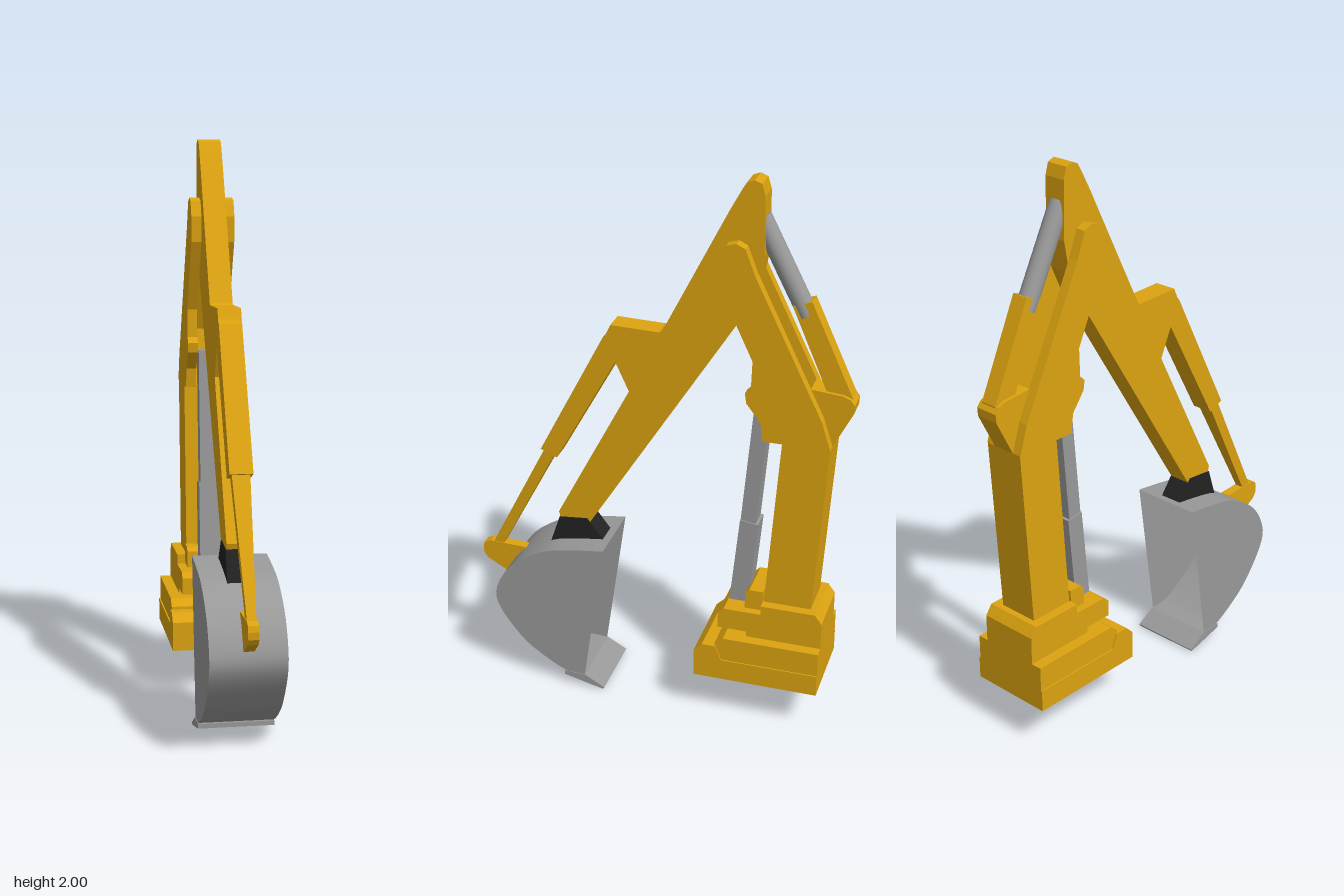
import * as THREE from 'three';

const mat = (color, extra = {}) => new THREE.MeshStandardMaterial({ color, ...extra });
const yellow = mat(0xdca310);
const black = mat(0x222222);
const steel = mat(0x999999);
const steelThin = mat(0x999999, { side: THREE.DoubleSide });

const toShape = pts => new THREE.Shape(pts.map(([z, y]) => new THREE.Vector2(z, y)));

export function createModel() {
  const model = new THREE.Group();

  const add = (name, geometry, material) => {
    const mesh = new THREE.Mesh(geometry, material);
    mesh.name = name;
    model.add(mesh);
    return mesh;
  };

  // Side profile in (z, y), given a width along x
  const plate = (name, pts, width, material = yellow, x = 0) => {
    const g = new THREE.ExtrudeGeometry(toShape(pts), { depth: width, bevelEnabled: false });
    g.translate(0, 0, -width / 2);
    g.rotateY(-Math.PI / 2);
    g.translate(x, 0, 0);
    return add(name, g, material);
  };

  // Stepped base
  plate('baseFoot', [[-0.17, 0.16], [-0.17, 0.265], [-0.2, 0.295], [-0.25, 0.295], [-0.27, 0.24],
    [-0.62, 0.24], [-0.62, 0.16]], 0.31);
  plate('baseStep', [[-0.245, 0.26], [-0.245, 0.305], [-0.275, 0.33], [-0.62, 0.33], [-0.62, 0.24],
    [-0.265, 0.24]], 0.3);
  plate('baseTop', [[-0.35, 0.33], [-0.35, 0.35], [-0.245, 0.35], [-0.245, 0.41], [-0.265, 0.43],
    [-0.4, 0.43], [-0.4, 0.465], [-0.595, 0.465], [-0.62, 0.43], [-0.62, 0.33]], 0.22);
  plate('baseBracket', [[-0.335, 0.42], [-0.335, 0.49], [-0.35, 0.505], [-0.4, 0.505], [-0.4, 0.42]], 0.16);

  // Boom: solid lower post, two upper arms that straddle the stick
  plate('boomPost', [[-0.4, 0.43], [-0.447, 1.1], [-0.46, 1.13], [-0.6, 1.13], [-0.612, 1.1], [-0.57, 0.43]], 0.15);
  for (const s of [1, -1]) {
    plate('boomArm', [[-0.447, 1.1], [-0.38, 1.1], [-0.37, 1.17], [-0.32, 1.235], [-0.315, 1.27],
      [-0.335, 1.29], [-0.338, 1.39], [-0.22, 1.64], [-0.217, 1.73], [-0.24, 1.785], [-0.275, 1.795],
      [-0.305, 1.78], [-0.34, 1.69], [-0.58, 1.2], [-0.612, 1.1]], 0.036, yellow, s * 0.059);
  }
  plate('boomHorn', [[-0.612, 1.1], [-0.678, 1.23], [-0.68, 1.26], [-0.665, 1.28], [-0.64, 1.29],
    [-0.53, 1.3], [-0.5, 1.12]], 0.085);

  // Lift ram between base and boom
  plate('liftRamBarrel', [[-0.267, 0.42], [-0.3, 0.76], [-0.365, 0.75], [-0.335, 0.42]], 0.08, steel);
  plate('liftRamRod', [[-0.3, 0.75], [-0.342, 1.24], [-0.395, 1.24], [-0.355, 0.75]], 0.07, steel);

  // Stick ram behind the boom
  plate('stickRamBarrel', [[-0.455, 1.585], [-0.52, 1.605], [-0.67, 1.28], [-0.655, 1.24], [-0.6, 1.25]], 0.06);
  const a = new THREE.Vector3(0, 1.87, -0.335), b = new THREE.Vector3(0, 1.55, -0.5);
  const rod = add('stickRamRod', new THREE.CylinderGeometry(0.034, 0.034, a.distanceTo(b), 20), steel);
  rod.position.copy(a).lerp(b, 0.5);
  rod.quaternion.setFromUnitVectors(new THREE.Vector3(0, 1, 0), a.clone().sub(b).normalize());

  // Stick with its ram bracket
  plate('stick', [[-0.28, 1.965], [-0.295, 1.99], [-0.32, 2], [-0.345, 1.99], [-0.357, 1.95], [-0.36, 1.75],
    [-0.34, 1.64], [-0.28, 1.51], [0.255, 0.655], [0.28, 0.633], [0.31, 0.627], [0.34, 0.635], [0.365, 0.655],
    [0.373, 0.68], [0.103, 1.2], [0.19, 1.39], [0.167, 1.44], [-0.005, 1.435], [-0.015, 1.44],
    [-0.17, 1.75], [-0.24, 1.89]], 0.08);

  // Bucket ram with a rod tapering toward the link
  plate('bucketRamBarrel', [[0.17, 1.42], [0.195, 1.39], [0.435, 0.925], [0.375, 0.9], [0.115, 1.37]], 0.079);
  const taper = plate('bucketRamRod', [[0.42, 0.93], [0.65, 0.48], [0.61, 0.48], [0.385, 0.91]], 1);
  const p = taper.geometry.attributes.position;
  for (let i = 0; i < p.count; i++) {
    p.setX(i, p.getX(i) * THREE.MathUtils.mapLinear(p.getY(i), 0.48, 0.93, 0.03, 0.062));
  }
  taper.geometry.computeVertexNormals();
  plate('bucketLink', [[0.685, 0.465], [0.68, 0.485], [0.655, 0.495], [0.52, 0.49], [0.5, 0.46],
    [0.59, 0.375], [0.67, 0.42], [0.683, 0.44]], 0.036);
  plate('bucketHinge', [[0.37, 0.66], [0.405, 0.555], [0.2, 0.585], [0.265, 0.67]], 0.085, black);

  // Bucket: curved open shell, two side walls and a cutting lip
  const W = 0.258, N = 32;
  const curve = new THREE.SplineCurve([[0.177, 0.597], [0.3, 0.58], [0.41, 0.553], [0.53, 0.475], [0.592, 0.37],
    [0.582, 0.285], [0.5, 0.17], [0.42, 0.105], [0.325, 0.053], [0.257, 0.045]]
    .map(q => new THREE.Vector2(...q)));
  const line = curve.getPoints(N);
  const shell = new THREE.PlaneGeometry(W, 1, 1, N);
  const sp = shell.attributes.position;
  for (let i = 0; i < sp.count; i++) {
    const q = line[Math.floor(i / 2)];
    sp.setXYZ(i, sp.getX(i), q.y, q.x);
  }
  shell.computeVertexNormals();
  add('bucketShell', shell, steelThin);
  for (const s of [1, -1]) {
    const side = new THREE.ShapeGeometry(new THREE.Shape(line));
    side.rotateY(-Math.PI / 2);
    side.translate(s * W / 2, 0, 0);
    add('bucketSide', side, steelThin);
  }
  plate('bucketLip', [[0.335, 0.053], [0.335, 0.037], [0.185, 0], [0.18, 0.008], [0.255, 0.05]], W + 0.004, steel);

  return model;
}
